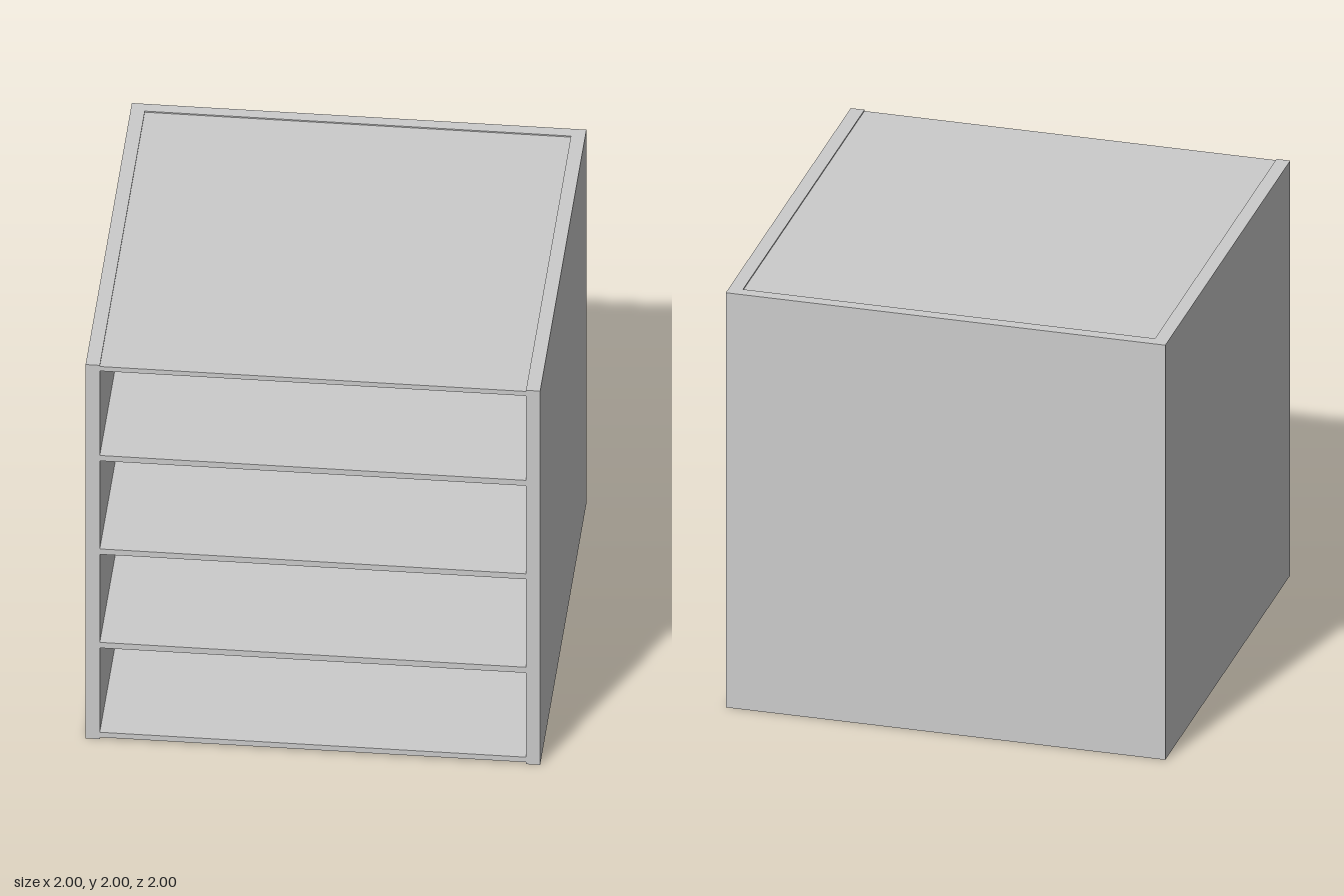
import * as THREE from 'three';

export function createModel() {
  const model = new THREE.Group();
  model.name = 'shelfUnit';

  const grey = new THREE.MeshStandardMaterial({ color: 0xcccccc });
  grey.name = 'light grey';

  const side = 0.0625; // side panel thickness
  const back = 0.055; // back panel thickness
  const inner = 2 - 2 * side;

  // Box given by its size and its lowest y
  function board(name, w, h, d, x, bottom, z) {
    const mesh = new THREE.Mesh(new THREE.BoxGeometry(w, h, d), grey);
    mesh.name = name;
    mesh.position.set(x, bottom + h / 2, z);
    model.add(mesh);
  }

  // Side panels, mirrored
  for (const s of [1, -1]) {
    board(s > 0 ? 'leftPanel' : 'rightPanel', side, 2, 2, s * (1 - side / 2), 0, 0);
  }

  // Back panel between the sides
  board('backPanel', inner, 2, back, 0, 0, -1 + back / 2);

  // Base, shelves and top; the base and top sit just inside the frame
  const levels = [
    ['base', 0.01, 0.037],
    ['shelf1', 0.488, 0.518],
    ['shelf2', 0.989, 1.018],
    ['shelf3', 1.489, 1.518],
    ['top', 1.97, 1.994],
  ];
  for (const [name, low, high] of levels) {
    board(name, inner, high - low, 2 - back, 0, low, back / 2);
  }

  return model;
}
